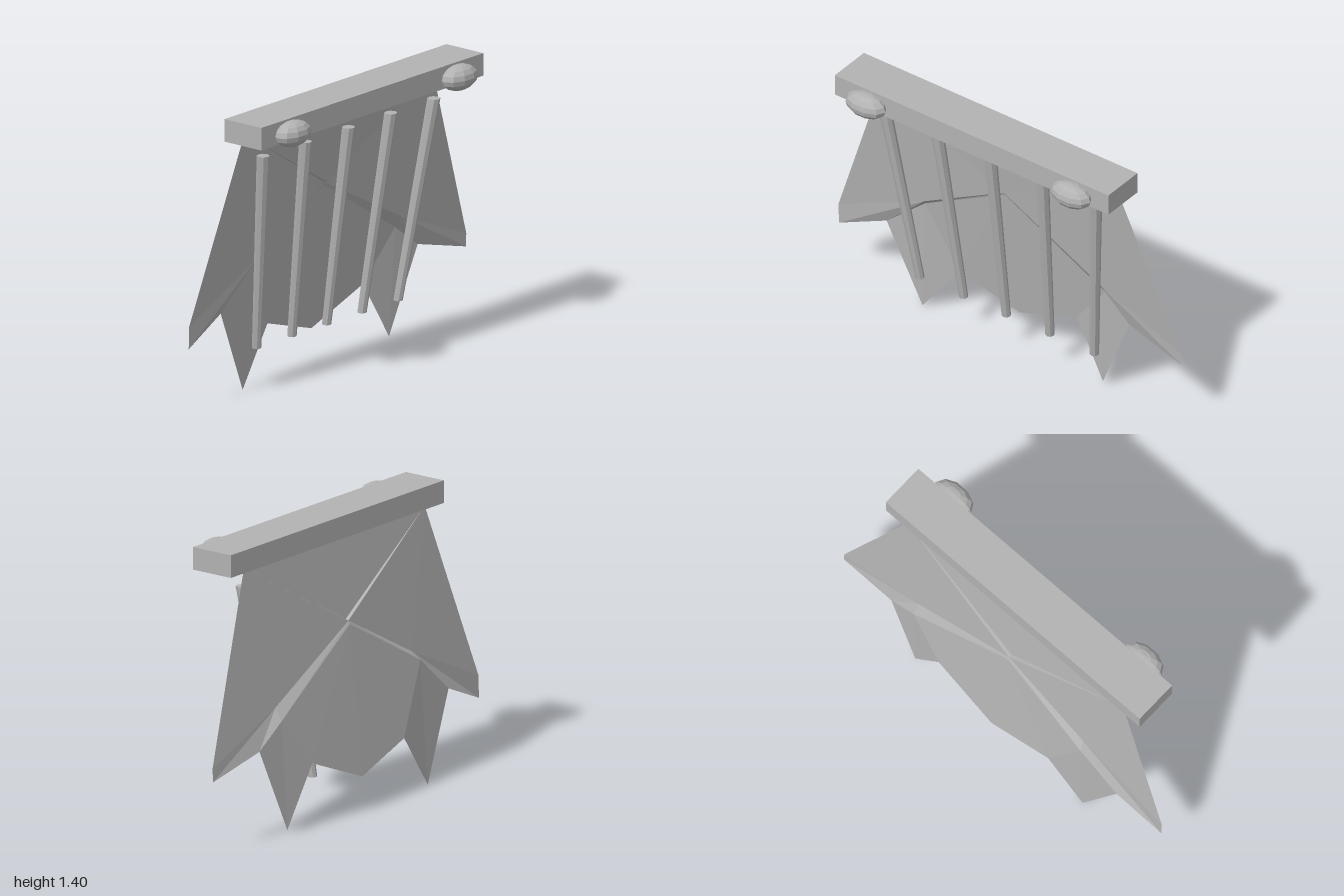
import * as THREE from 'three';

export function createModel() {
  const model = new THREE.Group();
  const grey = new THREE.MeshStandardMaterial({ color: 0xb2b2b2, flatShading: true, side: THREE.DoubleSide });
  grey.name = 'plain grey';

  const add = (name, geometry, x = 0, y = 0, z = 0) => {
    const mesh = new THREE.Mesh(geometry, grey);
    mesh.name = name;
    mesh.position.set(x, y, z);
    model.add(mesh);
    return mesh;
  };

  // Shoulder bar across the top
  add('topBar', new THREE.BoxGeometry(1.6, 0.11, 0.225), -0.01, 1.355, 0.028);

  // Flattened studs on the front of the bar
  for (const x of [-0.61, 0.59]) {
    add('stud', new THREE.SphereGeometry(1, 10, 8).scale(0.112, 0.062, 0.068), x, 1.343, 0.163);
  }

  // Tapered hanging rods, sheared so that their ends stay level
  const rods = [[-0.625, -0.52], [-0.32, -0.265], [-0.01, -0.015], [0.295, 0.24], [0.605, 0.5]];
  for (const [topX, bottomX] of rods) {
    const rod = new THREE.CylinderGeometry(0.031, 0.022, 0.985, 8);
    const p = rod.attributes.position;
    for (let i = 0; i < p.count; i++) {
      const t = p.getY(i) / 0.985 + 0.5;
      p.setX(i, p.getX(i) + THREE.MathUtils.lerp(bottomX, topX, t));
      p.setZ(i, p.getZ(i) + THREE.MathUtils.lerp(-0.135, -0.005, t));
    }
    add('rod', rod, 0, 0.7125, 0);
  }

  // Cloth: faceted panels, with a ledge where the lower panel is set back
  const centre = {
    peak: [-0.03, 0.92, -0.118],
    peakBack: [-0.03, 0.915, -0.135],
    peakLow: [-0.03, 0.9, -0.142],
    hem: [-0.01, 0.18, -0.233],
  };
  const sides = {
    leftCloth: {
      shoulder: [0.67, 1.31, -0.066], tipTop: [1, 0.43, -0.142], tip: [1, 0.365, -0.145],
      fold: [0.53, 0.62, -0.143], foldLow: [0.53, 0.56, -0.18], notch: [0.68, 0.445, -0.168],
      spike: [0.505, 0.03, -0.195], hemSide: [0.34, 0.32, -0.213],
    },
    rightCloth: {
      shoulder: [-0.69, 1.31, -0.066], tipTop: [-1, 0.43, -0.14], tip: [-1, 0.32, -0.143],
      fold: [-0.5, 0.66, -0.14], foldLow: [-0.52, 0.62, -0.175], notch: [-0.74, 0.43, -0.168],
      spike: [-0.55, 0.01, -0.195], hemSide: [-0.35, 0.285, -0.213],
    },
  };
  const panels = [
    'shoulder peak peakBack', 'shoulder peakBack fold', 'shoulder fold tipTop', 'fold tip tipTop',
    'peakBack peakLow foldLow', 'peakBack foldLow fold', 'fold foldLow notch', 'fold notch tip',
    'peakLow hem hemSide', 'peakLow hemSide foldLow', 'foldLow hemSide spike', 'foldLow spike notch',
  ];
  const cloth = (name, triangles) => {
    const g = new THREE.BufferGeometry();
    g.setAttribute('position', new THREE.Float32BufferAttribute(triangles.flat(2), 3));
    g.computeVertexNormals();
    add(name, g);
  };
  for (const [name, points] of Object.entries(sides)) {
    const all = { ...centre, ...points };
    const flip = name === 'leftCloth';
    cloth(name, panels.map((panel) => {
      const corners = panel.split(' ').map((key) => all[key]);
      return flip ? corners : corners.reverse();
    }));
  }
  cloth('upperCloth', [[sides.rightCloth.shoulder, centre.peak, sides.leftCloth.shoulder]]);

  return model;
}
